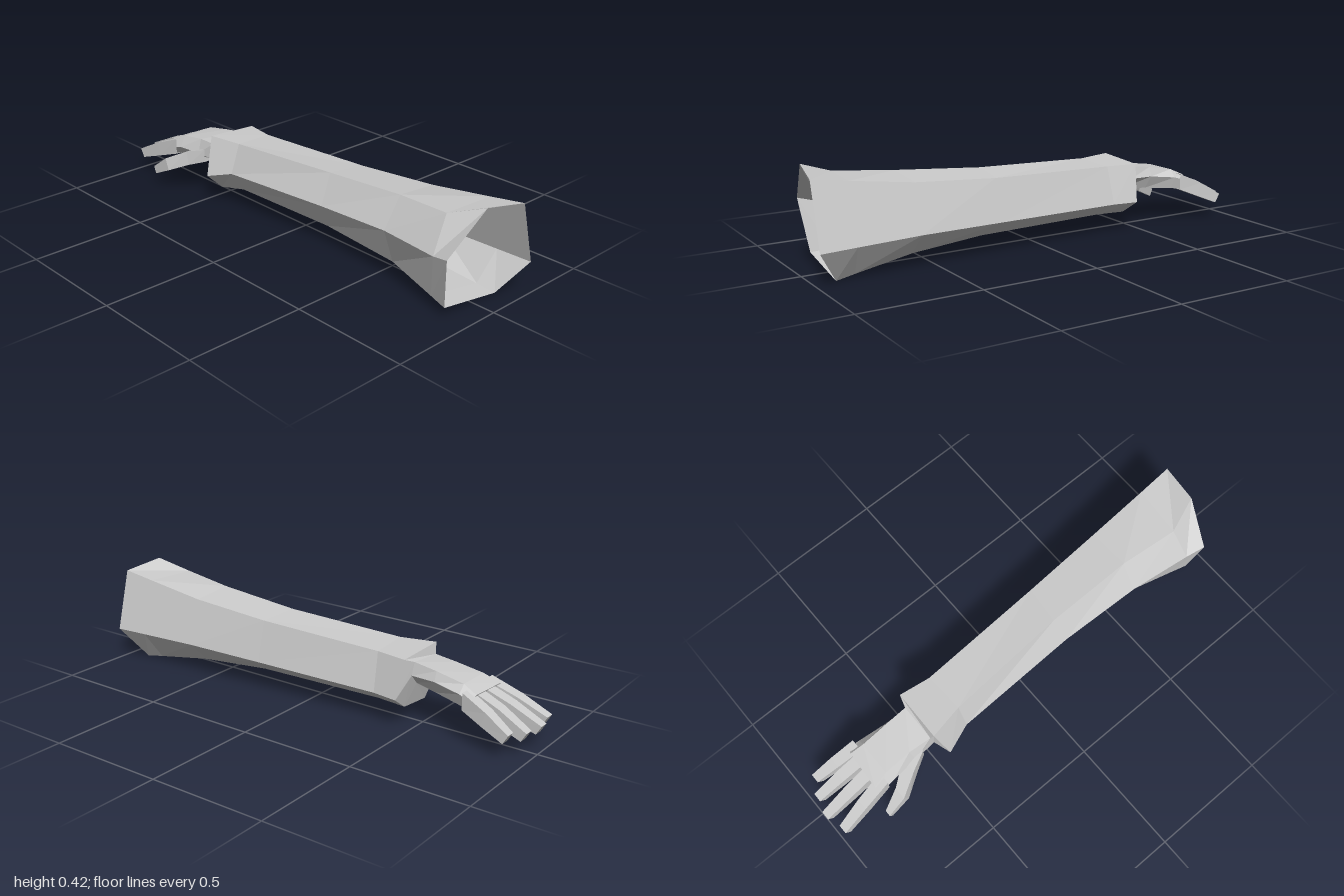
import * as THREE from 'three';

const material = new THREE.MeshStandardMaterial({
  color: 0xcccccc, flatShading: true, side: THREE.DoubleSide,
});

// Skin a list of equal-sized rings of [x, y, z] points, running from +x to -x.
function loft(name, rings, capEnd) {
  const n = rings[0].length, index = [];
  for (let i = 0; i < rings.length - 1; i++) {
    for (let j = 0; j < n; j++) {
      const a = i * n + j, b = i * n + (j + 1) % n;
      index.push(a, b, a + n, b, b + n, a + n);
    }
  }
  if (capEnd) {
    const s = (rings.length - 1) * n;
    for (let j = 1; j < n - 1; j++) index.push(s, s + j, s + j + 1);
  }
  const geometry = new THREE.BufferGeometry();
  geometry.setAttribute('position', new THREE.Float32BufferAttribute(rings.flat(2), 3));
  geometry.setIndex(index);
  geometry.computeVertexNormals();
  const mesh = new THREE.Mesh(geometry, material);
  mesh.name = name;
  return mesh;
}

// Four-sided digit: each section is [x, topY, bottomY, frontZ, backZ, bottom shift in x].
function digit(name, sections) {
  return loft(name, sections.map(([x, t, b, f, k, s = 0]) => [
    [x, t, f], [x, t, k], [x + s, b, k], [x + s, b, f],
  ]), true);
}

export function createModel() {
  const arm = new THREE.Group();
  arm.name = 'arm';

  // Ring order: front top, back top, back, back bottom, front bottom, front.
  const wrist = [[-0.49, 0.255, 0.1], [-0.49, 0.27, -0.06], [-0.485, 0.215, -0.07],
    [-0.475, 0.165, -0.015], [-0.475, 0.155, 0.045], [-0.48, 0.18, 0.105]];

  // Open six-sided sleeve with a flared mouth and a cuff
  const sleeve = [
    [[0.97, 0.42, 0.04], [1, 0.395, -0.135], [1, 0.135, -0.205],
      [0.91, 0, -0.12], [0.9, 0.04, 0.16], [0.93, 0.255, 0.198]],
    [[0.83, 0.37, 0.09], [0.85, 0.373, -0.131], [0.85, 0.137, -0.195],
      [0.83, 0.012, -0.111], [0.82, 0.05, 0.142], [0.85, 0.235, 0.178]],
    [[0.58, 0.35, 0.06], [0.58, 0.335, -0.125], [0.58, 0.14, -0.178],
      [0.58, 0.047, -0.085], [0.58, 0.08, 0.09], [0.58, 0.228, 0.142]],
    [[0.2, 0.32, 0.055], [0.22, 0.308, -0.112], [0.22, 0.135, -0.155],
      [0.26, 0.066, -0.058], [0.2, 0.09, 0.068], [0.22, 0.2, 0.121]],
    [[-0.33, 0.297, 0.085], [-0.34, 0.29, -0.09], [-0.35, 0.13, -0.13],
      [-0.32, 0.074, -0.05], [-0.33, 0.078, 0.065], [-0.33, 0.17, 0.13]],
    [[-0.48, 0.3, 0.115], [-0.475, 0.29, -0.11], [-0.46, 0.13, -0.145],
      [-0.45, 0.072, -0.06], [-0.45, 0.06, 0.09], [-0.45, 0.135, 0.17]],
  ];
  arm.add(loft('sleeve', sleeve));
  arm.add(loft('cuffEnd', [sleeve[sleeve.length - 1], wrist]));

  // Palm widening from the wrist to the knuckles
  arm.add(loft('palm', [
    wrist,
    [[-0.59, 0.248, 0.09], [-0.59, 0.255, -0.06], [-0.59, 0.215, -0.075],
      [-0.58, 0.16, -0.045], [-0.57, 0.152, 0.06], [-0.58, 0.19, 0.115]],
    [[-0.71, 0.23, 0.09], [-0.71, 0.232, -0.06], [-0.71, 0.2, -0.092],
      [-0.7, 0.15, -0.075], [-0.7, 0.145, 0.09], [-0.7, 0.185, 0.122]],
    [[-0.78, 0.202, 0.1], [-0.77, 0.205, -0.07], [-0.76, 0.185, -0.1],
      [-0.75, 0.142, -0.085], [-0.76, 0.135, 0.1], [-0.77, 0.165, 0.125]],
  ], true));

  // Four fingers: tip x, tip height, root z, tip z
  const fingers = [
    ['littleFinger', -0.94, 0.105, -0.078, -0.11],
    ['ringFinger', -0.98, 0.1, -0.025, -0.042],
    ['middleFinger', -1, 0.105, 0.037, 0.04],
    ['indexFinger', -0.98, 0.105, 0.098, 0.13],
  ];
  for (const [name, x, y, z0, z1] of fingers) {
    const mid = (x - 0.74) / 2, zm = (z0 + z1) / 2;
    arm.add(digit(name, [
      [-0.73, 0.215, 0.145, z0 + 0.027, z0 - 0.027],
      [mid, 0.165, 0.108, zm + 0.025, zm - 0.025, 0.02],
      [x, y, y - 0.037, z1 + 0.02, z1 - 0.02, 0.022],
    ]));
  }

  // Thumb reaching forward and down
  arm.add(digit('thumb', [
    [-0.54, 0.215, 0.158, 0.112, 0.05],
    [-0.62, 0.195, 0.133, 0.15, 0.08, 0.01],
    [-0.715, 0.147, 0.095, 0.2, 0.145, 0.02],
    [-0.8, 0.085, 0.053, 0.205, 0.178, 0.012],
  ]));
  return arm;
}
